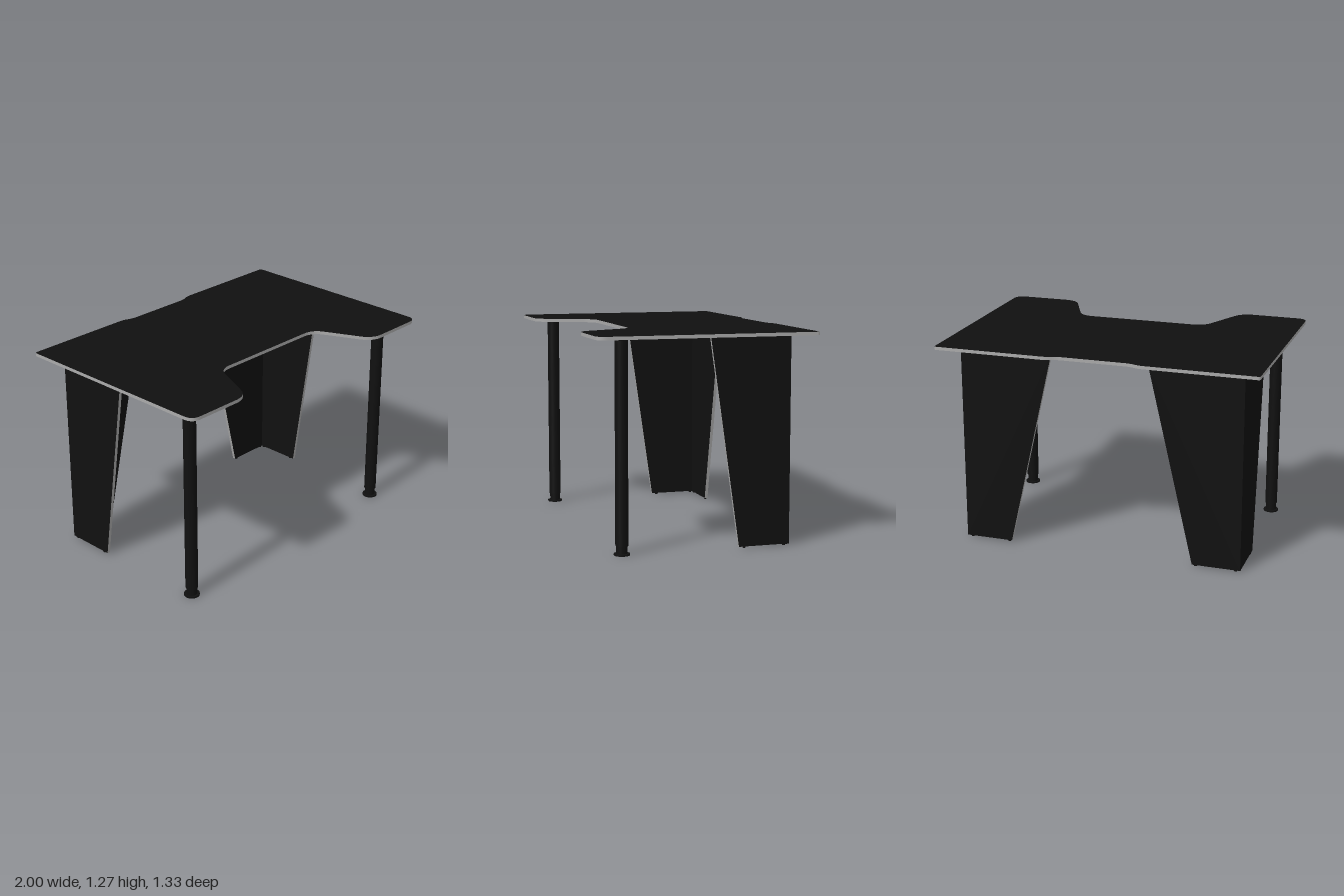
import * as THREE from 'three';
import { toCreasedNormals } from 'three/addons/utils/BufferGeometryUtils.js';

const TOP = 1.25, THICK = 0.02, BASE = 0.008;
const CX = 0.885, CZ = -0.535; // outer corner of the angled panel legs

export function createModel() {
  const model = new THREE.Group();
  const black = new THREE.MeshStandardMaterial({ color: 0x101010 });
  const edge = new THREE.MeshStandardMaterial({ color: 0xaaaaaa });

  function add(parent, name, geometry, material, x = 0, y = 0, z = 0) {
    const mesh = new THREE.Mesh(geometry, material);
    mesh.name = name;
    mesh.position.set(x, y, z);
    parent.add(mesh);
    return mesh;
  }

  // Closed outline whose corners [x, y, cut] are rounded over the cut length
  function roundedOutline(corners) {
    const shape = new THREE.Shape();
    corners.forEach(([x, y, cut], i) => {
      const p = new THREE.Vector2(x, y);
      const toward = ([a, b]) =>
        new THREE.Vector2(a, b).sub(p).setLength(cut).add(p);
      const start = toward(corners.at(i - 1));
      const end = toward(corners[(i + 1) % corners.length]);
      if (i === 0) shape.moveTo(start.x, start.y);
      else shape.lineTo(start.x, start.y);
      shape.quadraticCurveTo(x, y, end.x, end.y);
    });
    shape.closePath();
    return shape;
  }

  // Tabletop: front cut-out for the sitter, shallow cable notch at the back
  const half = [
    [0.41, -0.305, 0.075],
    [0.57, -0.66, 0.08],
    [1, -0.66, 0.065],
    [1, 0.667, 0.015],
    [0.285, 0.667, 0.03],
    [0.225, 0.643, 0.03],
  ];
  const mirrored = half.map(([x, y, c]) => [-x, y, c]).reverse();
  const topGeometry = new THREE.ExtrudeGeometry(
    roundedOutline([...half, ...mirrored]),
    { depth: THICK, bevelEnabled: false, curveSegments: 10 }
  ).rotateX(-Math.PI / 2);
  add(model, 'tabletop', toCreasedNormals(topGeometry, 0.6), [black, edge], 0, TOP, 0);

  // Tapered panel running along +x from the corner, mitred on its inner face
  function panelGeometry(bottom, top, innerZ) {
    const shape = new THREE.Shape([
      new THREE.Vector2(0, BASE),
      new THREE.Vector2(bottom, BASE),
      new THREE.Vector2(top, TOP),
      new THREE.Vector2(0, TOP),
    ]);
    const geometry = new THREE.ExtrudeGeometry(shape, { depth: THICK, bevelEnabled: false });
    const p = geometry.attributes.position;
    for (let i = 0; i < p.count; i++) {
      if (Math.abs(p.getZ(i) - innerZ) < 1e-4 && p.getX(i) < 1e-4) p.setX(i, THICK);
    }
    geometry.computeVertexNormals();
    return geometry;
  }

  for (const side of [1, -1]) {
    const label = side > 0 ? 'left' : 'right';

    // Angled rear leg made of two panels
    const rear = new THREE.Group();
    rear.name = label + 'RearLeg';
    model.add(rear);
    const back = panelGeometry(0.3, 0.585, side > 0 ? 0 : THICK);
    if (side > 0) back.rotateY(Math.PI);
    add(rear, 'backPanel', back, [black, edge], side * CX, 0, side > 0 ? CZ + THICK : CZ);
    const flank = panelGeometry(0.315, 0.495, side > 0 ? THICK : 0).rotateY(-Math.PI / 2);
    add(rear, 'sidePanel', flank, [black, edge], side > 0 ? CX : -CX + THICK, 0, CZ);

    // Small glides under the panels
    const glide = new THREE.CylinderGeometry(0.009, 0.009, BASE, 12);
    for (const d of [0.03, 0.28]) {
      add(rear, 'glide', glide, black, side * (CX - d), BASE / 2, CZ + THICK / 2);
      add(rear, 'glide', glide, black, side * (CX - THICK / 2), BASE / 2, CZ + d);
    }

    // Round front leg with adjustable foot and mounting plate
    const front = new THREE.Group();
    front.name = label + 'FrontLeg';
    front.position.set(side * 0.845, 0, 0.482);
    model.add(front);
    add(front, 'tube', new THREE.CylinderGeometry(0.038, 0.038, 1.185, 32), black, 0, 0.6475, 0);
    add(front, 'footStem', new THREE.CylinderGeometry(0.033, 0.033, 0.05, 32), black, 0, 0.033, 0);
    add(front, 'footDisc', new THREE.CylinderGeometry(0.047, 0.047, 0.01, 32), black, 0, 0.005, 0);
    add(front, 'collar', new THREE.CylinderGeometry(0.042, 0.035, 0.012, 32), black, 0, 1.24, 0);
    add(front, 'mountingPlate', new THREE.CylinderGeometry(0.065, 0.065, 0.006, 32), black, 0, 1.247, 0)
      .scale.x = 0.77;
  }
  return model;
}
